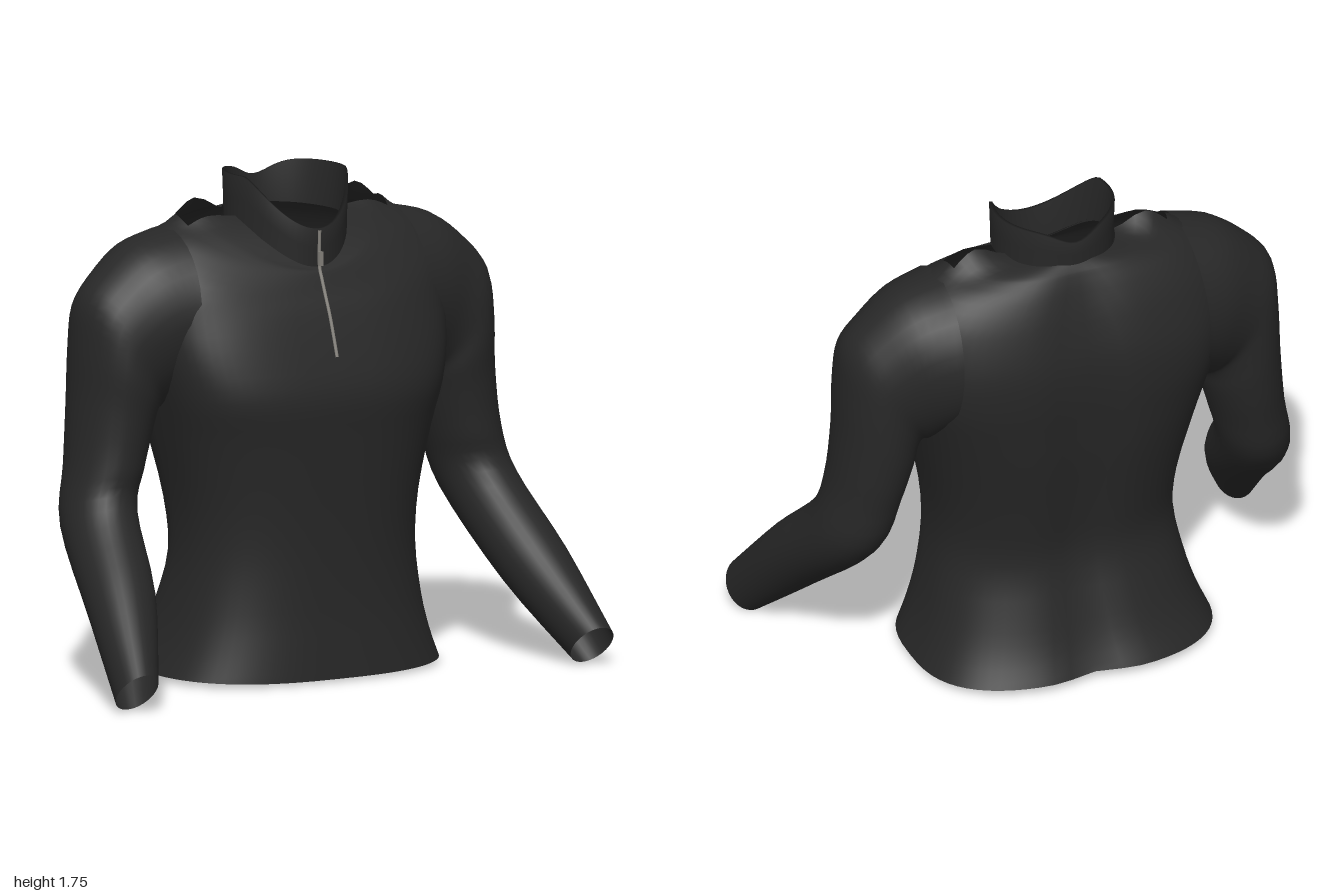
import * as THREE from 'three';

const fabric = new THREE.MeshStandardMaterial({ color: 0x272727, side: THREE.DoubleSide });
fabric.name = 'charcoal fabric';
const metal = new THREE.MeshStandardMaterial({ color: 0x85827c, side: THREE.DoubleSide });
metal.name = 'zip metal';

// Smoothly subdivides a table of cross-section parameters
function refine(rows, sub) {
  const out = [];
  const at = i => rows[Math.max(0, Math.min(rows.length - 1, i))];
  for (let i = 0; i < rows.length - 1; i++) {
    for (let k = 0; k < sub; k++) {
      const t = k / sub;
      out.push(rows[i].map((b, c) => {
        const a = at(i - 1)[c], d = at(i + 1)[c], e = at(i + 2)[c];
        return b + 0.5 * t * (d - a + t * (2 * a - 5 * b + 4 * d - e + t * (3 * (b - d) + e - a)));
      }));
    }
  }
  out.push(rows[rows.length - 1]);
  return out;
}

// Skins closed rings of points; skip(i, j) leaves an opening
function loft(rings, flip = false, skip = () => false) {
  const n = rings[0].length, index = [];
  for (let i = 0; i < rings.length - 1; i++) {
    for (let j = 0; j < n; j++) {
      if (skip(i, j)) continue;
      const k = (j + 1) % n;
      const a = i * n + j, b = a + n, c = i * n + k, d = c + n;
      if (flip) index.push(a, c, b, c, d, b);
      else index.push(a, b, c, c, b, d);
    }
  }
  const g = new THREE.BufferGeometry();
  g.setAttribute('position', new THREE.Float32BufferAttribute(rings.flat(2), 3));
  g.setIndex(index);
  g.computeVertexNormals();
  return g;
}

function add(group, name, geometry, material) {
  const m = new THREE.Mesh(geometry, material);
  m.name = name;
  group.add(m);
  return m;
}

const ring = (n, f) => Array.from({ length: n }, (_, j) => f((j / n) * Math.PI * 2));
const spow = (v, p) => Math.sign(v) * Math.pow(Math.abs(v), p);
const bell = v => Math.exp(-v * v);

// Body: front y, side y, back y, half width, front z, back z, squareness
const BODY = [
  [0.01, 0.02, 0.03, 0.545, 0.285, -0.52, 2.7],
  [0.12, 0.12, 0.12, 0.505, 0.275, -0.47, 2.6],
  [0.25, 0.25, 0.25, 0.47, 0.265, -0.42, 2.5],
  [0.43, 0.43, 0.43, 0.443, 0.262, -0.368, 2.4],
  [0.62, 0.62, 0.62, 0.452, 0.268, -0.388, 2.5],
  [0.85, 0.85, 0.85, 0.5, 0.283, -0.428, 2.7],
  [1.0, 1.0, 1.0, 0.535, 0.292, -0.447, 3],
  [1.14, 1.14, 1.14, 0.565, 0.255, -0.462, 3.2],
  [1.28, 1.28, 1.28, 0.58, 0.205, -0.46, 3.1],
  [1.35, 1.45, 1.42, 0.58, 0.172, -0.425, 2.6],
  [1.4, 1.55, 1.52, 0.5, 0.15, -0.385, 2.2],
  [1.425, 1.585, 1.575, 0.41, 0.138, -0.355, 2],
  [1.435, 1.6, 1.595, 0.33, 0.128, -0.34, 2],
  [1.45, 1.61, 1.615, 0.21, 0.115, -0.32, 2],
];
const SUB = 3, SEG = 64;

function bodyGeometry() {
  const rows = refine(BODY, SUB);
  const rings = rows.map(([yf, ys, yb, hw, zf, zb, n]) => ring(SEG, t => {
    const c = Math.cos(t), s = Math.sin(t), mid = (zf + zb) / 2;
    const x = hw * spow(c, 2 / n);
    let z = mid + ((zf - zb) / 2) * spow(s, 2 / n);
    let y = ys + ((s > 0 ? yf : yb) - ys) * s * s;
    // groove along the spine
    if (s < 0) z += 0.033 * bell(x / 0.1) * (1 - bell((yb - 1.75) / 0.2));
    // shoulder ridge set slightly back
    z -= 0.02 * c * c * THREE.MathUtils.smoothstep(ys, 1.4, 1.58);
    // raised edges of the shoulder slots
    if (ys > 1.5) y += 0.08 * bell((hw - 0.33) / 0.085) * bell((s + 0.09) / 0.25);
    return [x, y, z];
  }));
  const slotStart = 11 * SUB;
  return loft(rings, false, (i, j) => {
    const off = Math.min(j % 32, 31 - (j % 32));
    if (i >= slotStart) return off < 2;
    // armholes, hidden inside the sleeve heads
    return rows[i][1] > 1.1 && rows[i + 1][1] < 1.42 && off < 2;
  });
}

// Sleeve: outer x, y, inner x, y, centre z, then the y and z of the front offset
const SLEEVE = [
  [0.45, 1.58, 0.48, 1.0, -0.148, 0, 0.27],
  [0.6, 1.54, 0.5, 0.97, -0.143, 0, 0.242],
  [0.72, 1.45, 0.515, 0.95, -0.137, 0, 0.214],
  [0.8, 1.35, 0.525, 0.95, -0.13, 0, 0.2],
  [0.82, 1.19, 0.54, 0.93, -0.127, 0, 0.198],
  [0.828, 1.0, 0.555, 0.87, -0.13, 0, 0.187],
  [0.85, 0.78, 0.59, 0.75, -0.118, 0.012, 0.17],
  [0.895, 0.59, 0.635, 0.59, -0.075, 0.055, 0.145],
  [0.955, 0.33, 0.705, 0.33, 0.195, 0.09, 0.085],
  [0.995, 0.07, 0.84, 0.07, 0.445, 0.07, 0.065],
];

function sleeveGeometry(side) {
  const rings = refine(SLEEVE, 4).map(([ox, oy, ix, iy, z, fy, fz]) => ring(32, t => {
    const c = Math.cos(t) / 2, s = Math.sin(t);
    return [
      side * ((ox + ix) / 2 + c * (ox - ix)),
      (oy + iy) / 2 + c * (oy - iy) + s * fy,
      z + s * fz,
    ];
  }));
  return loft(rings, side > 0);
}

// Collar: outer wall, folded rim and inner wall
function collarGeometry() {
  const wall = (r, h) => ring(SEG, t => {
    const c = Math.cos(t), s = Math.sin(t), f = Math.max(s, 0);
    const bottom = s > 0 ? 1.59 - 0.15 * f * f : 1.59 + 0.01 * s * s;
    const top = 1.75 - 0.175 * Math.pow(Math.max(0, (s - 0.3) / 0.7), 1.4)
      - (s < 0 ? 0.05 * bell(c / 0.4) : 0);
    return [r * c, bottom + (top - bottom) * h, -0.1 + r * s + 0.018 * f * f];
  });
  return loft([wall(0.213, 0), wall(0.215, 0.5), wall(0.218, 1), wall(0.206, 1), wall(0.203, 0)]);
}

// Zip tape following the chest line, with its pull at the collar
function zip(group) {
  const path = new THREE.CatmullRomCurve3([
    [1.14, 0.258], [1.21, 0.234], [1.28, 0.208], [1.35, 0.176], [1.4, 0.154], [1.44, 0.138], [1.57, 0.138],
  ].map(([y, z]) => new THREE.Vector3(0, y, z)));
  add(group, 'zipTape', new THREE.TubeGeometry(path, 48, 0.006, 8), metal);
  add(group, 'zipPull', new THREE.BoxGeometry(0.016, 0.05, 0.01), metal).position.set(0, 1.47, 0.145);
}

export function createModel() {
  const shirt = new THREE.Group();
  shirt.name = 'zipNeckShirt';
  add(shirt, 'body', bodyGeometry(), fabric);
  add(shirt, 'leftSleeve', sleeveGeometry(1), fabric);
  add(shirt, 'rightSleeve', sleeveGeometry(-1), fabric);
  add(shirt, 'collar', collarGeometry(), fabric);
  zip(shirt);
  return shirt;
}
